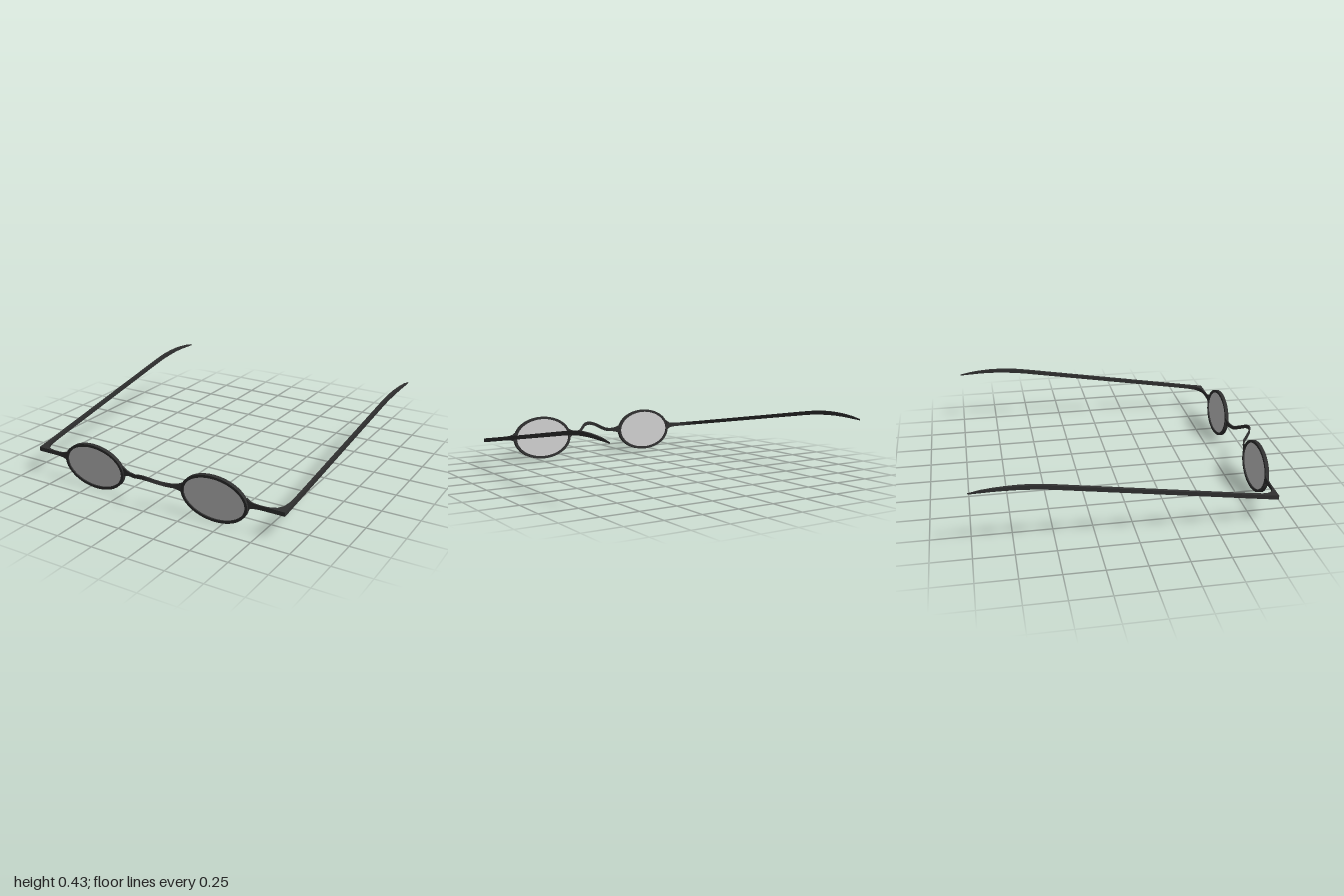
import * as THREE from 'three';
import { toCreasedNormals } from 'three/addons/utils/BufferGeometryUtils.js';

const frameMat = new THREE.MeshStandardMaterial({ color: 0x303030 });
const lensMat = new THREE.MeshStandardMaterial({ color: 0xc4c4c4 });

const LENS = { x: 0.445, y: 0.158, z: 0.896, rx: 0.23, ry: 0.157, tilt: 0.1 };

function mesh(name, geometry, material) {
  const m = new THREE.Mesh(geometry, material);
  m.name = name;
  return m;
}

// Flat band through rows { a: front/outer point, b: back/inner point, h: half height }
function band(rows, side = 1) {
  const pos = [], idx = [];
  for (const { a, b, h } of rows) {
    for (const [p, dy] of [[a, h], [b, h], [b, -h], [a, -h]]) pos.push(p.x * side, p.y + dy, p.z);
  }
  const tri = (p, q, r) => (side > 0 ? idx.push(p, q, r) : idx.push(p, r, q));
  const quad = (p, q, r, s) => { tri(p, q, r); tri(p, r, s); };
  const end = (rows.length - 1) * 4;
  for (let i = 0; i < end; i += 4) {
    for (let j = 0; j < 4; j++) {
      const k = (j + 1) % 4;
      quad(i + j, i + 4 + j, i + 4 + k, i + k);
    }
  }
  quad(0, 1, 2, 3);
  quad(end + 3, end + 2, end + 1, end);
  const g = new THREE.BufferGeometry();
  g.setAttribute('position', new THREE.Float32BufferAttribute(pos, 3));
  g.setIndex(idx);
  return toCreasedNormals(g, 0.7);
}

function ellipse(rx, ry, Type) {
  return new Type().absellipse(0, 0, rx, ry, 0, Math.PI * 2, false);
}

// Extruded oval, centred on its depth
function oval(shape, depth) {
  const g = new THREE.ExtrudeGeometry(shape, { depth, bevelEnabled: false, curveSegments: 32 });
  g.translate(0, 0, -depth / 2);
  return toCreasedNormals(g, 0.6);
}

// Height of the arm along its length: straight rise, then a gentle droop at the ear
function armHeight(z) {
  const rise = 0.175 + (0.885 - Math.max(-0.5, Math.min(z, 0.885))) * 0.159;
  const t = Math.max(0, -0.5 - z);
  return rise + 0.159 * t - 0.3 * t * t;
}

// Arm from the rim, around the hinge corner and back to the ear tip
function armGeometry(side) {
  // outer x, outer z, inner x, inner z, half height
  const plan = [
    [0.662, 0.899, 0.662, 0.885, 0.040],
    [0.675, 0.898, 0.675, 0.884, 0.031],
    [0.690, 0.896, 0.690, 0.885, 0.022],
    [0.710, 0.894, 0.710, 0.885, 0.017],
    [0.740, 0.893, 0.740, 0.885, 0.0145],
    [0.780, 0.893, 0.780, 0.884, 0.0135],
    [0.830, 0.893, 0.820, 0.879, 0.0135],
    [0.875, 0.893, 0.852, 0.866, 0.0135],
    [0.912, 0.893, 0.877, 0.836, 0.0135],
    [0.913, 0.830, 0.889, 0.795, 0.0135],
    [0.915, 0.740, 0.894, 0.730, 0.0135],
  ];
  for (let i = 1; i <= 24; i++) {
    const z = 0.73 - (1.73 * i) / 24;
    const taper = Math.min(1, Math.sqrt((z + 1) / 0.35) * 0.9 + 0.1);
    const mid = 0.905 + 0.034 * Math.min(1, (0.73 - z) / 1.5) - 0.003 * Math.max(0, -0.8 - z) / 0.2;
    const w = 0.0105 * taper;
    plan.push([mid + w, z, mid - w, z, 0.003 + 0.0105 * taper]);
  }
  const rows = plan.map(([xa, za, xb, zb, h]) => ({
    a: new THREE.Vector3(xa, armHeight(za), za),
    b: new THREE.Vector3(xb, armHeight(zb), zb),
    h,
  }));
  return band(rows, side);
}

// Arched nose bridge that sweeps forward between the rims
function bridgeGeometry() {
  const half = [
    [0.232, 0.173, 0.893], [0.200, 0.174, 0.899], [0.160, 0.174, 0.907],
    [0.115, 0.178, 0.922], [0.075, 0.199, 0.957], [0.040, 0.218, 0.984],
  ].map((p) => new THREE.Vector3(...p));
  const mirrored = half.map((p) => new THREE.Vector3(-p.x, p.y, p.z));
  const curve = new THREE.CatmullRomCurve3([
    ...mirrored, new THREE.Vector3(0, 0.226, 0.994), ...half.reverse(),
  ]);
  const rows = [];
  for (let i = 0; i <= 64; i++) {
    const p = curve.getPointAt(i / 64), t = curve.getTangentAt(i / 64);
    const n = new THREE.Vector3(-t.z, 0, t.x).normalize().multiplyScalar(0.005);
    // flare where the bridge meets each rim
    const flare = Math.max(0, (Math.abs(p.x) - 0.15) / 0.082);
    rows.push({ a: p.clone().add(n), b: p.clone().sub(n), h: 0.0125 + 0.027 * flare ** 2 });
  }
  return band(rows);
}

export function createModel() {
  const group = new THREE.Group();
  group.name = 'spectacles';

  const ring = ellipse(LENS.rx, LENS.ry, THREE.Shape);
  ring.holes.push(ellipse(LENS.rx - 0.018, LENS.ry - 0.018, THREE.Path));
  const rimGeometry = oval(ring, 0.024);
  const lensGeometry = oval(ellipse(LENS.rx - 0.016, LENS.ry - 0.016, THREE.Shape), 0.006);

  for (const [label, side] of [['left', 1], ['right', -1]]) {
    // Rim and lens, tilted with the top forward
    const eye = new THREE.Group();
    eye.name = label + 'Eyepiece';
    eye.add(mesh(label + 'Rim', rimGeometry, frameMat), mesh(label + 'Lens', lensGeometry, lensMat));
    eye.position.set(side * LENS.x, LENS.y, LENS.z);
    eye.rotation.x = LENS.tilt;
    group.add(eye, mesh(label + 'Arm', armGeometry(side), frameMat));
  }

  group.add(mesh('bridge', bridgeGeometry(), frameMat));
  return group;
}
